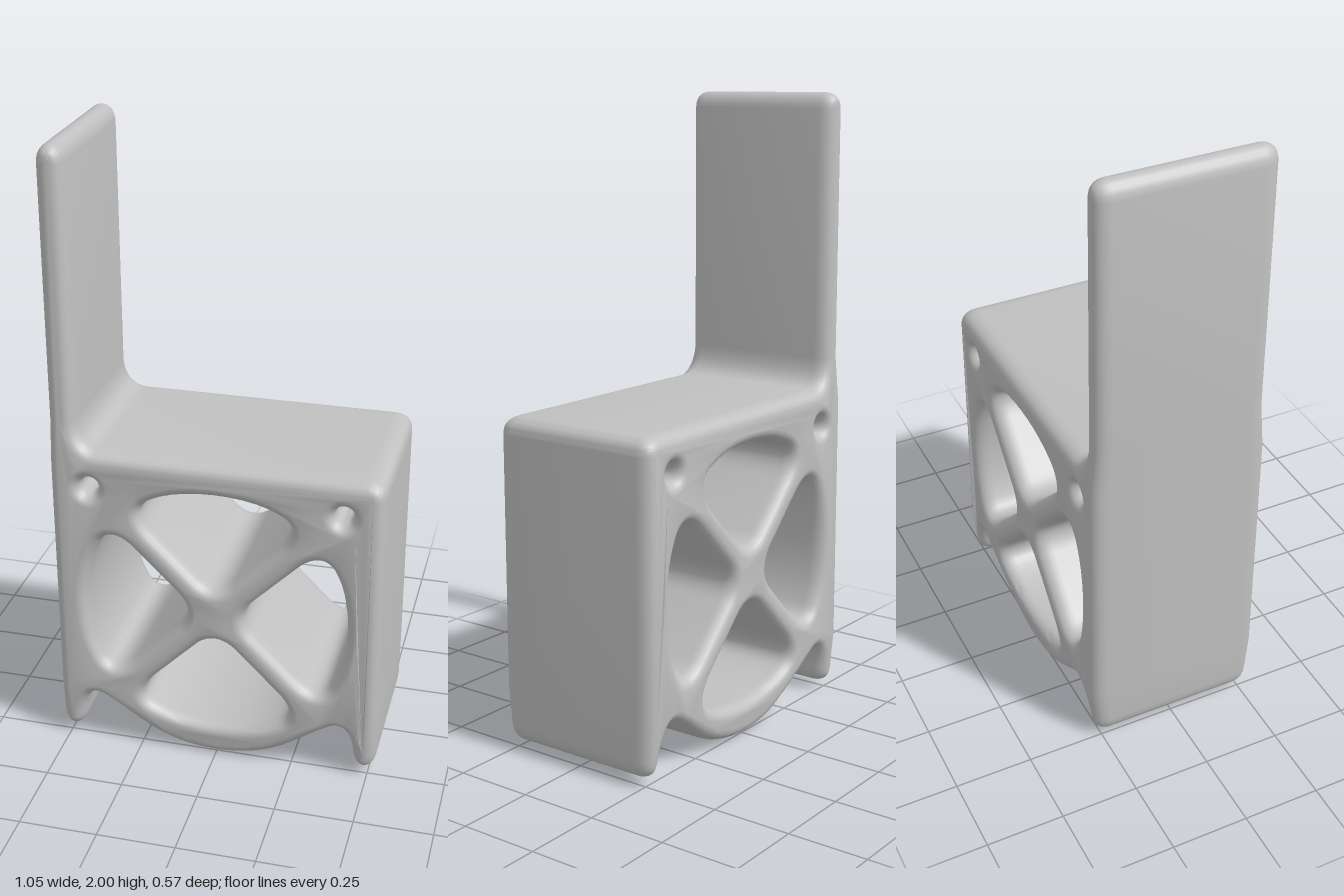
import * as THREE from 'three';
import { toCreasedNormals } from 'three/addons/utils/BufferGeometryUtils.js';

const HUB_Y = 0.53;
const BEVEL = 0.035, BEVEL_DEPTH = 0.05, HALF_DEPTH = 0.287;

// Side outline: tall back plate, square housing, two legs and a round belly
function bracketOutline() {
  const s = new THREE.Shape();
  s.moveTo(-0.525, 0.08);
  s.bezierCurveTo(-0.525, 0.007, -0.45, 0.007, -0.449, 0.08);   // right leg tip
  s.bezierCurveTo(-0.44, 0.15, -0.42, 0.2, -0.36, 0.155);       // leg fillet
  s.bezierCurveTo(-0.27, 0.1, -0.2, 0, 0, 0);                   // belly
  s.bezierCurveTo(0.2, 0, 0.27, 0.1, 0.36, 0.155);
  s.bezierCurveTo(0.42, 0.2, 0.44, 0.15, 0.449, 0.08);
  s.bezierCurveTo(0.45, 0.007, 0.525, 0.007, 0.525, 0.08);      // left leg tip
  s.lineTo(0.525, 0.2);
  s.lineTo(0.525, 1.0);
  s.quadraticCurveTo(0.525, 1.055, 0.46, 1.055);                // seat corner
  s.lineTo(-0.37, 1.055);
  s.quadraticCurveTo(-0.435, 1.06, -0.44, 1.15);                // seat to plate fillet
  s.lineTo(-0.44, 1.95);
  s.bezierCurveTo(-0.445, 2.017, -0.52, 2.017, -0.525, 1.95);   // rounded plate top
  s.lineTo(-0.525, 1.15);
  s.lineTo(-0.525, 1.0);
  s.lineTo(-0.525, 0.2);
  s.closePath();
  return s;
}

// One rounded opening between two spokes, turned about the hub
function spokeOpening(angle) {
  const p = new THREE.Path();
  p.moveTo(-0.06, 0.12);
  p.quadraticCurveTo(0, 0.065, 0.06, 0.12);
  p.lineTo(0.2, 0.26);
  p.bezierCurveTo(0.25, 0.31, 0.255, 0.355, 0.2, 0.38);
  p.bezierCurveTo(0.1, 0.433, -0.1, 0.433, -0.2, 0.38);
  p.bezierCurveTo(-0.255, 0.355, -0.25, 0.31, -0.2, 0.26);
  p.closePath();
  const hub = new THREE.Vector2(0, HUB_Y), origin = new THREE.Vector2();
  const points = p.getPoints(10).map(v => v.rotateAround(origin, angle).add(hub));
  return new THREE.Path(points);
}

// Small round screw hole
function screwHole(x) {
  const p = new THREE.Path();
  p.absarc(x, 0.935, 0.029, 0, Math.PI * 2, true);
  return p;
}

export function createModel() {
  const group = new THREE.Group();
  group.name = 'bracket';
  const grey = new THREE.MeshStandardMaterial({ color: 0xc0c0c0 });
  grey.name = 'light grey';

  const shape = bracketOutline();
  for (let i = 0; i < 4; i++) shape.holes.push(spokeOpening(i * Math.PI / 2));
  for (const x of [-0.4, 0.4]) shape.holes.push(screwHole(x));

  const depth = 2 * (HALF_DEPTH - BEVEL_DEPTH);
  const geometry = new THREE.ExtrudeGeometry(shape, {
    depth, curveSegments: 10, bevelEnabled: true, bevelSegments: 5,
    bevelSize: BEVEL, bevelOffset: -BEVEL, bevelThickness: BEVEL_DEPTH,
  });
  geometry.translate(0, 0, -depth / 2);

  // Plate and leg tips are a little narrower than the housing
  const pos = geometry.attributes.position;
  for (let i = 0; i < pos.count; i++) {
    const y = pos.getY(i);
    const narrow = Math.max(THREE.MathUtils.smoothstep(y, 0.98, 1.14),
      1 - THREE.MathUtils.smoothstep(y, 0.03, 0.2));
    pos.setZ(i, pos.getZ(i) * (1 - 0.05 * narrow));
  }

  const body = new THREE.Mesh(toCreasedNormals(geometry, 0.8), grey);
  body.name = 'spokedHousingWithBackPlate';
  group.add(body);
  return group;
}
